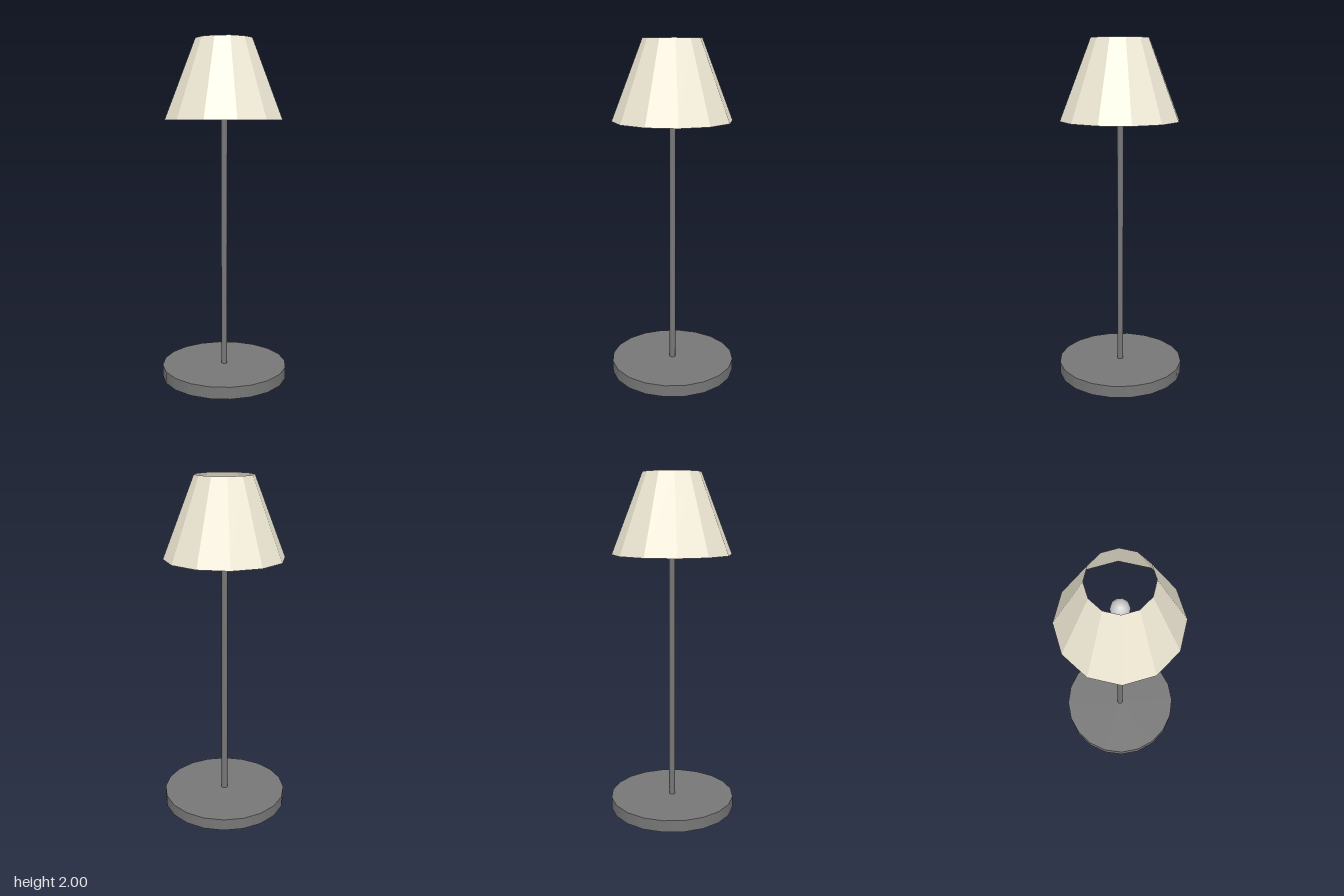
import * as THREE from 'three';

export function createModel() {
  const lamp = new THREE.Group();
  lamp.name = 'tableLamp';

  const metal = new THREE.MeshStandardMaterial({ color: 0x777777 });
  const glass = new THREE.MeshStandardMaterial({ color: 0xcccccc });
  const fabric = new THREE.MeshStandardMaterial({
    color: 0xf0ead6, flatShading: true, side: THREE.DoubleSide,
  });

  function add(name, geometry, material, y) {
    const mesh = new THREE.Mesh(geometry, material);
    mesh.name = name;
    mesh.position.y = y;
    lamp.add(mesh);
    return mesh;
  }

  // Round weighted foot
  add('base', new THREE.CylinderGeometry(0.374, 0.374, 0.07, 20), metal, 0.035);

  // Slim stem from the foot up into the bulb
  const stemBottom = 0.06, stemTop = 1.65;
  add('stem', new THREE.CylinderGeometry(0.018, 0.018, stemTop - stemBottom, 10),
    metal, (stemBottom + stemTop) / 2);

  // Slightly elongated bulb
  add('bulb', new THREE.SphereGeometry(0.053, 10, 8), glass, 1.695).scale.y = 1.15;

  // Twelve-sided shade, open at both ends
  add('shade', new THREE.CylinderGeometry(0.167, 0.347, 0.46, 12, 1, true), fabric, 1.77);

  return lamp;
}
